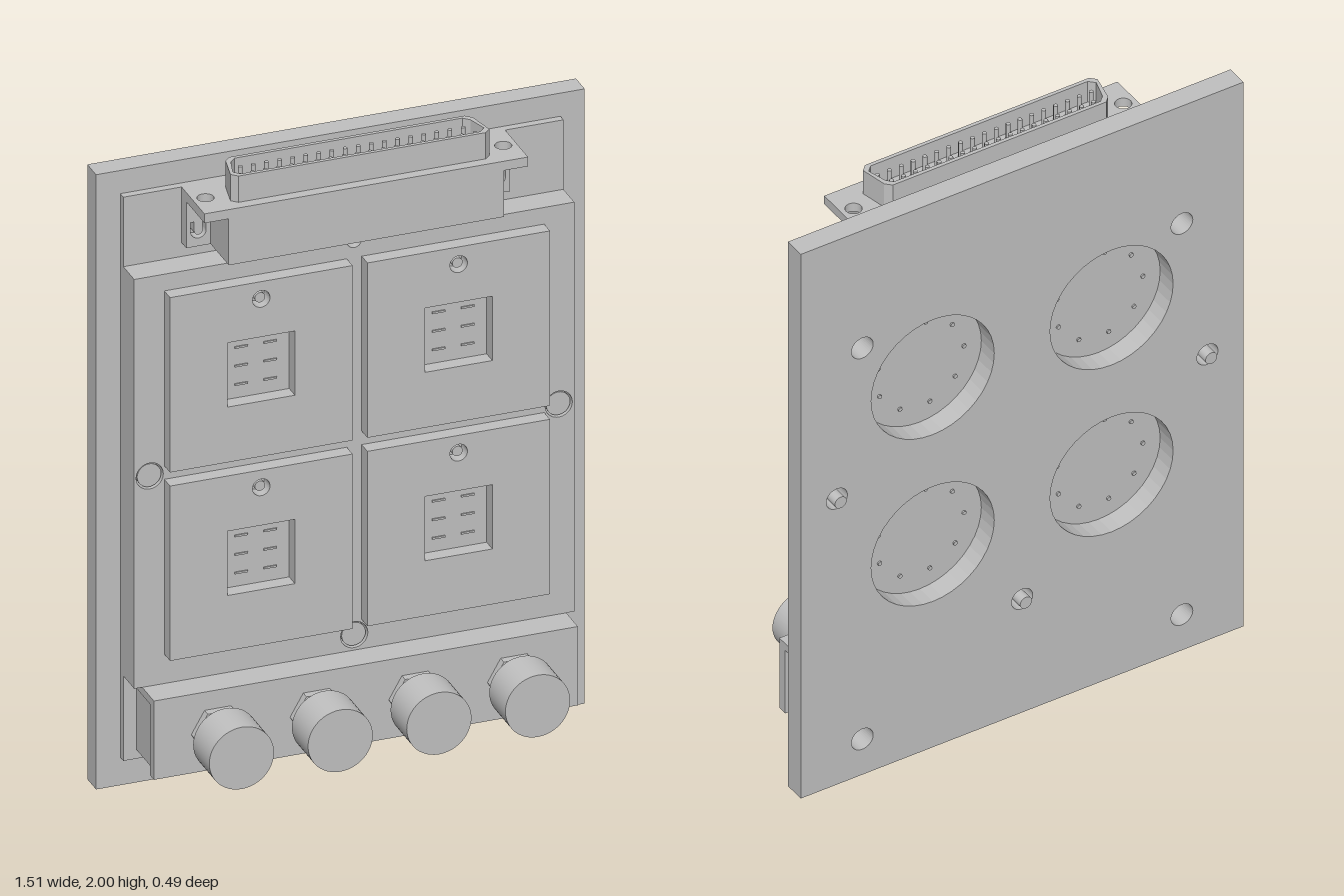
import * as THREE from 'three';

export function createModel() {
  const model = new THREE.Group();
  const grey = new THREE.MeshStandardMaterial({ color: 0xc0c0c0 });
  grey.name = 'plain grey';

  const add = (name, geometry, parent = model) => {
    const mesh = new THREE.Mesh(geometry, grey);
    mesh.name = name;
    parent.add(mesh);
    return mesh;
  };
  const box = (name, x0, x1, y0, y1, z0, z1) => {
    const g = new THREE.BoxGeometry(x1 - x0, y1 - y0, z1 - z0);
    return add(name, g.translate((x0 + x1) / 2, (y0 + y1) / 2, (z0 + z1) / 2));
  };
  // Cylinder along z
  const rod = (name, x, y, z0, z1, r, sides = 32) =>
    add(name, new THREE.CylinderGeometry(r, r, z1 - z0, sides).rotateX(Math.PI / 2).translate(x, y, (z0 + z1) / 2));
  const poly = (points, Type = THREE.Shape) => new Type(points.map(([x, y]) => new THREE.Vector2(x, y)));
  const rect = (x0, x1, y0, y1, Type) => poly([[x0, y0], [x1, y0], [x1, y1], [x0, y1]], Type);
  const hole = (x, y, r) => new THREE.Path().absarc(x, y, r, 0, Math.PI * 2, true);
  const extrude = (shape, depth) =>
    new THREE.ExtrudeGeometry(shape, { depth, bevelEnabled: false, curveSegments: 20 });
  const slab = (name, shape, z0, z1) => add(name, extrude(shape, z1 - z0).translate(0, 0, z0));
  // Shape drawn in (x, -z), raised along y
  const raised = (name, shape, y0, y1) =>
    add(name, extrude(shape, y1 - y0).rotateX(-Math.PI / 2).translate(0, y0, 0));

  const columns = [-0.305, 0.305];
  const rows = [0.743, 1.353];
  const screws = [[-0.632, 1.045], [0.632, 1.045], [0, 0.415]];

  // Back plate with round openings, corner holes and screw clearances
  const plate = rect(-0.755, 0.755, 0, 1.99);
  for (const x of columns) for (const y of rows) plate.holes.push(hole(x, y, 0.21));
  for (const x of [-0.545, 0.545]) for (const y of [0.13, 1.56]) plate.holes.push(hole(x, y, 0.037));
  for (const [x, y] of screws) plate.holes.push(hole(x, y, 0.036));
  slab('backPlate', plate, -0.222, -0.152);

  // Circuit board
  box('circuitBoard', -0.68, 0.68, 0.09, 1.915, -0.152, -0.128);

  // Housing block with counterbores and a half-round notch in the top edge
  const housing = new THREE.Shape();
  housing.moveTo(-0.68, 0.365);
  housing.lineTo(0.68, 0.365);
  housing.lineTo(0.68, 1.69);
  housing.lineTo(0.022, 1.69);
  housing.absarc(0, 1.69, 0.022, 0, Math.PI, true);
  housing.lineTo(-0.68, 1.69);
  for (const [x, y] of screws) housing.holes.push(hole(x, y, 0.042));
  slab('housingBlock', housing, -0.128, -0.041);

  // Screws through the housing, standing out at the back
  for (const [x, y] of screws) {
    rod('screwHead', x, y, -0.128, -0.046, 0.037);
    rod('screwTip', x, y, -0.243, -0.15, 0.02);
  }

  // Four sensor tiles with square windows
  for (const x of columns) for (const y of rows) {
    const tile = rect(x - 0.282, x + 0.282, y - 0.283, y + 0.283);
    tile.holes.push(rect(x - 0.104, x + 0.104, y - 0.104, y + 0.104, THREE.Path));
    tile.holes.push(hole(x, y + 0.227, 0.027));
    slab('sensorTile', tile, -0.041, 0.005);
    rod('tilePin', x, y + 0.227, -0.041, -0.005, 0.016, 16);
    // Contacts in the window
    for (let i = 0; i < 3; i++) for (const s of [-1, 1])
      box('windowContact', x + s * 0.045 - 0.02, x + s * 0.045 + 0.02,
        y + (i - 1) * 0.06 - 0.003, y + (i - 1) * 0.06 + 0.003, -0.041, -0.037);
    // Solder points behind the round opening
    for (let i = 0; i < 9; i++) {
      const a = (i / 9) * Math.PI * 2 + 0.3;
      rod('solderPoint', x + 0.15 * Math.cos(a), y + 0.15 * Math.sin(a), -0.157, -0.152, 0.007, 8);
    }
  }

  // Connector body and flange
  box('connectorBody', -0.425, 0.425, 1.735, 1.885, -0.128, 0.055);
  const flange = rect(-0.5, 0.5, -0.055, 0.128);
  for (const x of [-0.46, 0.46]) flange.holes.push(hole(x, 0.04, 0.025));
  raised('connectorFlange', flange, 1.885, 1.915);

  // Side brackets with a U-shaped slot
  for (const s of [-1, 1]) {
    const a = s * 0.4625;
    const bracket = rect(a - 0.0375, a + 0.0375, 1.735, 1.885);
    const slot = new THREE.Path();
    slot.moveTo(a - 0.024, 1.815);
    slot.lineTo(a - 0.024, 1.785);
    slot.absarc(a, 1.785, 0.024, Math.PI, Math.PI * 2, false);
    slot.lineTo(a + 0.024, 1.815);
    slot.lineTo(a + 0.013, 1.815);
    slot.lineTo(a + 0.013, 1.785);
    slot.absarc(a, 1.785, 0.013, 0, Math.PI, true);
    slot.lineTo(a - 0.013, 1.815);
    bracket.holes.push(slot);
    slab('connectorBracket', bracket, -0.128, -0.09);
  }

  // D-shaped shell with two rows of pins
  const dShape = (inset, Type) => {
    const w = 0.4 - inset, v = 0.382 - inset, f = -0.022 + inset, b = 0.1 - inset, c = 0.018;
    return poly([[-w + c, f], [w - c, f], [w, f + c], [v, b - c], [v - c, b], [-v + c, b], [-v, b - c], [-w, f + c]], Type);
  };
  const shell = dShape(0);
  shell.holes.push(dShape(0.012, THREE.Path));
  raised('connectorShell', shell, 1.915, 2);
  raised('connectorInsert', dShape(0.01), 1.91, 1.925);
  for (let row = 0; row < 2; row++) for (let i = 0; i < 19 - row; i++)
    add('connectorPin', new THREE.CylinderGeometry(0.007, 0.007, 0.06, 8)
      .translate((i - (18 - row) / 2) * 0.0405, 1.955, row ? -0.062 : -0.018));

  // Control block with front panel and top cover
  box('controlPanel', -0.655, 0.655, 0.11, 0.365, 0.02, 0.052);
  box('controlCover', -0.655, 0.655, 0.34, 0.365, -0.128, 0.02);
  box('controlBody', -0.64, 0.64, 0.12, 0.34, -0.128, 0.02);

  // Knobs on shafts with hexagonal nuts
  for (let i = 0; i < 4; i++) {
    const x = (i - 1.5) * 0.305, y = 0.235;
    const nut = new THREE.CylinderGeometry(0.082, 0.082, 0.026, 6).toNonIndexed();
    nut.computeVertexNormals();
    add('knobNut', nut.rotateY(Math.PI / 6 + Math.PI / 3).rotateX(Math.PI / 2).translate(x, y, 0.065));
    rod('knobShaft', x, y, 0.05, 0.115, 0.042);
    rod('knob', x, y, 0.114, 0.243, 0.1, 48);
  }
  return model;
}
